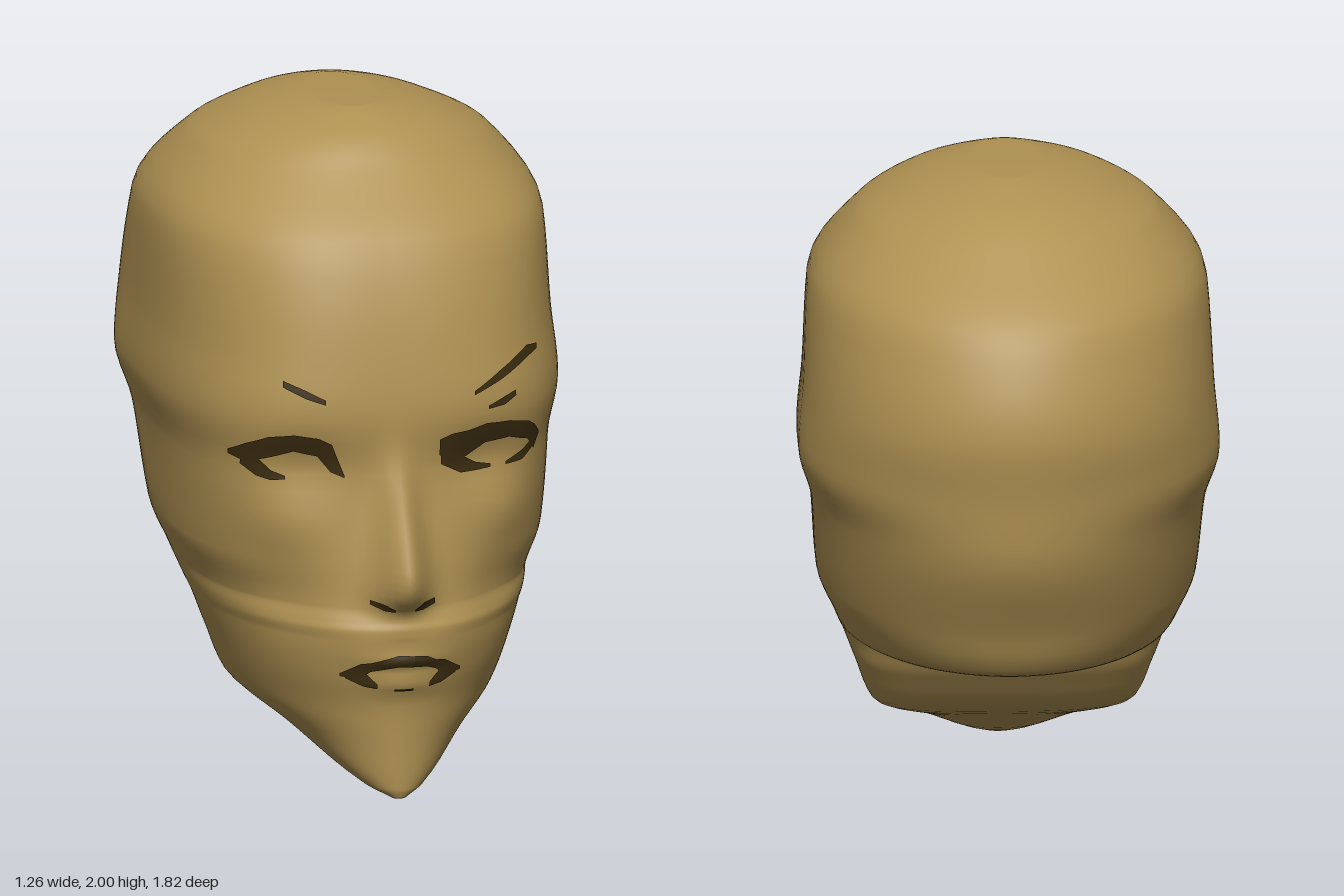
import * as THREE from 'three';

// Head cross-sections, top to bottom:
// [y, half width, z of widest point, front z, back z, front roundness, back roundness]
const SECTIONS = [
  [2.0, 0.1, 0, 0.2, -0.2, 2, 2],
  [1.985, 0.18, 0, 0.25, -0.27, 2, 2],
  [1.94, 0.32, 0, 0.36, -0.42, 2.1, 2],
  [1.86, 0.46, -0.05, 0.44, -0.56, 2.2, 2],
  [1.65, 0.6, -0.1, 0.64, -0.82, 2.5, 2],
  [1.36, 0.617, -0.2, 0.73, -0.91, 2.8, 2],
  [1.17, 0.632, -0.23, 0.755, -0.89, 3, 1.9],
  [1.0, 0.592, -0.15, 0.74, -0.875, 3, 1.9],
  [0.73, 0.57, 0, 0.775, -0.76, 2.4, 2],
  [0.6, 0.52, 0.05, 0.8, -0.7, 2.2, 2],
  [0.56, 0.508, 0.1, 0.82, -0.62, 2.15, 2],
  [0.535, 0.5, 0.12, 0.835, -0.38, 2.1, 2.2],
  [0.5, 0.487, 0.15, 0.84, -0.19, 2, 2.4],
  [0.4, 0.45, 0.18, 0.825, -0.11, 2, 3],
  [0.27, 0.4, 0.2, 0.8, 0, 1.9, 3],
  [0.17, 0.27, 0.4, 0.795, 0.23, 1.9, 2.5],
  [0.03, 0.09, 0.68, 0.79, 0.55, 2, 2],
  [0, 0.02, 0.765, 0.78, 0.75, 2, 2],
];

// Nose: [y, height above the face, half width]
const NOSE = [
  [1.2, 0, 0.05], [1.12, 0.005, 0.05], [0.9, 0.077, 0.06], [0.7, 0.132, 0.075],
  [0.64, 0.105, 0.08], [0.6, 0.05, 0.08], [0.56, 0.015, 0.07], [0.5, 0, 0.06],
];

// Monotone cubic interpolation down a table whose first column is y
function sample(table, y, col) {
  const last = table.length - 1;
  if (y >= table[0][0]) return table[0][col];
  if (y <= table[last][0]) return table[last][col];
  let i = 0;
  while (y < table[i + 1][0]) i++;
  const slope = (k) => (table[k + 1][col] - table[k][col]) / (table[k + 1][0] - table[k][0]);
  const tangent = (k) => {
    if (k === 0) return slope(0);
    if (k === last) return slope(last - 1);
    const a = slope(k - 1), b = slope(k);
    return a * b <= 0 ? 0 : (2 * a * b) / (a + b);
  };
  const h = table[i + 1][0] - table[i][0], t = (y - table[i][0]) / h;
  const t2 = t * t, t3 = t2 * t;
  return (2 * t3 - 3 * t2 + 1) * table[i][col] + (t3 - 2 * t2 + t) * h * tangent(i)
    + (3 * t2 - 2 * t3) * table[i + 1][col] + (t3 - t2) * h * tangent(i + 1);
}

const bump = (x, y, cx, cy, rx, ry) => Math.exp(-(((x - cx) / rx) ** 2) - ((y - cy) / ry) ** 2);
const round = (u, n) => Math.max(0, 1 - u ** n) ** (1 / n);

// Front surface of the head, with nose, eye sockets, cheeks and lips
function faceZ(x, y) {
  const [w, zc, zf, , n] = [1, 2, 3, 4, 5].map((c) => sample(SECTIONS, y, c));
  const ax = Math.abs(x);
  let z = zc + (zf - zc) * round(Math.min(1, ax / w), n);
  z += sample(NOSE, y, 1) * Math.exp(-((x / sample(NOSE, y, 2)) ** 2));
  z -= 0.025 * bump(ax, y, 0.27, 1.02, 0.12, 0.09);
  z -= 0.02 * bump(ax, y, 0.33, 0.62, 0.1, 0.13);
  z += 0.015 * bump(ax, y, 0.36, 0.85, 0.1, 0.07);
  z += 0.012 * bump(x, y, 0, 0.44, 0.12, 0.02) + 0.016 * bump(x, y, 0, 0.365, 0.11, 0.022);
  return z;
}

function headGeometry() {
  const cols = 160, steps = 5, rows = [];
  SECTIONS.forEach((s, i) => {
    const next = SECTIONS[i + 1];
    for (let k = 0; k < (next ? steps : 1); k++) rows.push(next ? s[0] + ((next[0] - s[0]) * k) / steps : s[0]);
  });
  const pos = [], index = [];
  for (const y of rows) {
    const [w, zc, , zb, , nb] = [1, 2, 3, 4, 5, 6].map((c) => sample(SECTIONS, y, c));
    for (let j = 0; j < cols; j++) {
      const a = (j / cols) * Math.PI * 2, x = w * Math.sin(a);
      const front = Math.cos(a) >= 0;
      pos.push(x, y, front ? faceZ(x, y) : zc - (zc - zb) * round(Math.abs(Math.sin(a)), nb));
    }
  }
  for (let i = 0; i < rows.length - 1; i++) {
    for (let j = 0; j < cols; j++) {
      const k = (j + 1) % cols;
      const a = i * cols + j, b = a + cols, c = (i + 1) * cols + k, d = i * cols + k;
      index.push(a, b, c, a, c, d);
    }
  }
  // Crown and chin caps
  const top = pos.length / 3, base = (rows.length - 1) * cols;
  pos.push(0, 2, 0, 0, 0, 0.765);
  for (let j = 0; j < cols; j++) {
    const k = (j + 1) % cols;
    index.push(top, j, k, top + 1, base + k, base + j);
  }
  const geo = new THREE.BufferGeometry();
  geo.setAttribute('position', new THREE.Float32BufferAttribute(pos, 3));
  geo.setIndex(index);
  geo.computeVertexNormals();
  return geo;
}

// Thin painted strip laid on the face; points are [x, upper y, lower y] with x rising
function strip(points) {
  const per = 6, n = (points.length - 1) * per;
  const geo = new THREE.PlaneGeometry(1, 1, n, 4);
  const p = geo.attributes.position;
  for (let i = 0; i < p.count; i++) {
    const s = (p.getX(i) + 0.5) * (points.length - 1);
    const k = Math.min(points.length - 2, Math.floor(s + 1e-6));
    const [x, hi, lo] = points[k].map((v, c) => THREE.MathUtils.lerp(v, points[k + 1][c], s - k));
    const y = THREE.MathUtils.lerp(lo, hi, p.getY(i) + 0.5);
    p.setXYZ(i, x, y, faceZ(x, y) + 0.007);
  }
  geo.computeVertexNormals();
  return geo;
}

const PAINT = {
  leftUpperLid: [[0.13, 1.1, 1.05], [0.17, 1.115, 1.02], [0.22, 1.12, 1.035], [0.28, 1.135, 1.07],
    [0.36, 1.13, 1.075], [0.43, 1.11, 1.05], [0.455, 1.09, 1.01], [0.475, 1.06, 1.05]],
  leftLowerLid: [[0.135, 1.055, 1.02], [0.2, 1.04, 0.985], [0.25, 1.01, 0.985], [0.3, 0.998, 0.988]],
  leftOuterLid: [[0.35, 0.997, 0.988], [0.41, 1.02, 0.99], [0.455, 1.05, 1.02]],
  rightUpperLid: [[-0.48, 1.06, 1.045], [-0.44, 1.09, 1.03], [-0.38, 1.12, 1.05], [-0.31, 1.13, 1.075],
    [-0.24, 1.12, 1.06], [-0.2, 1.1, 1.01], [-0.16, 1.0, 0.993]],
  rightLowerLid: [[-0.45, 1.06, 1.02], [-0.41, 1.05, 0.99], [-0.37, 1.01, 0.98], [-0.33, 0.995, 0.985]],
  leftBrow: [[0.24, 1.24, 1.228], [0.33, 1.29, 1.262], [0.43, 1.338, 1.305], [0.47, 1.33, 1.315]],
  leftBrowCrease: [[0.285, 1.19, 1.18], [0.34, 1.21, 1.185], [0.38, 1.222, 1.205]],
  rightBrow: [[-0.34, 1.295, 1.275], [-0.28, 1.27, 1.245], [-0.22, 1.24, 1.225]],
  upperLip: [[-0.185, 0.4, 0.39], [-0.13, 0.435, 0.385], [-0.1, 0.44, 0.41], [-0.02, 0.462, 0.425],
    [0.07, 0.455, 0.42], [0.1, 0.44, 0.41], [0.13, 0.435, 0.385], [0.185, 0.4, 0.39]],
  rightMouthCorner: [[-0.17, 0.4, 0.385], [-0.12, 0.41, 0.362], [-0.08, 0.37, 0.355]],
  leftMouthCorner: [[0.08, 0.37, 0.355], [0.12, 0.41, 0.362], [0.17, 0.4, 0.385]],
  lowerLipLine: [[-0.03, 0.354, 0.346], [0.03, 0.354, 0.346]],
  rightNostril: [[-0.1, 0.632, 0.618], [-0.06, 0.622, 0.6], [-0.03, 0.605, 0.597]],
  leftNostril: [[0.03, 0.605, 0.597], [0.06, 0.625, 0.598], [0.1, 0.628, 0.61]],
};

export function createModel() {
  const gold = new THREE.MeshStandardMaterial({ color: 0xaf9152 });
  gold.name = 'gold skin';
  const dark = new THREE.MeshStandardMaterial({ color: 0x3a2c10, side: THREE.DoubleSide });
  dark.name = 'dark brown paint';

  const model = new THREE.Group();
  model.name = 'head';
  const add = (name, geo, mat) => {
    const mesh = new THREE.Mesh(geo, mat);
    mesh.name = name;
    model.add(mesh);
  };
  add('skull', headGeometry(), gold);
  for (const [name, points] of Object.entries(PAINT)) add(name, strip(points), dark);
  return model;
}
